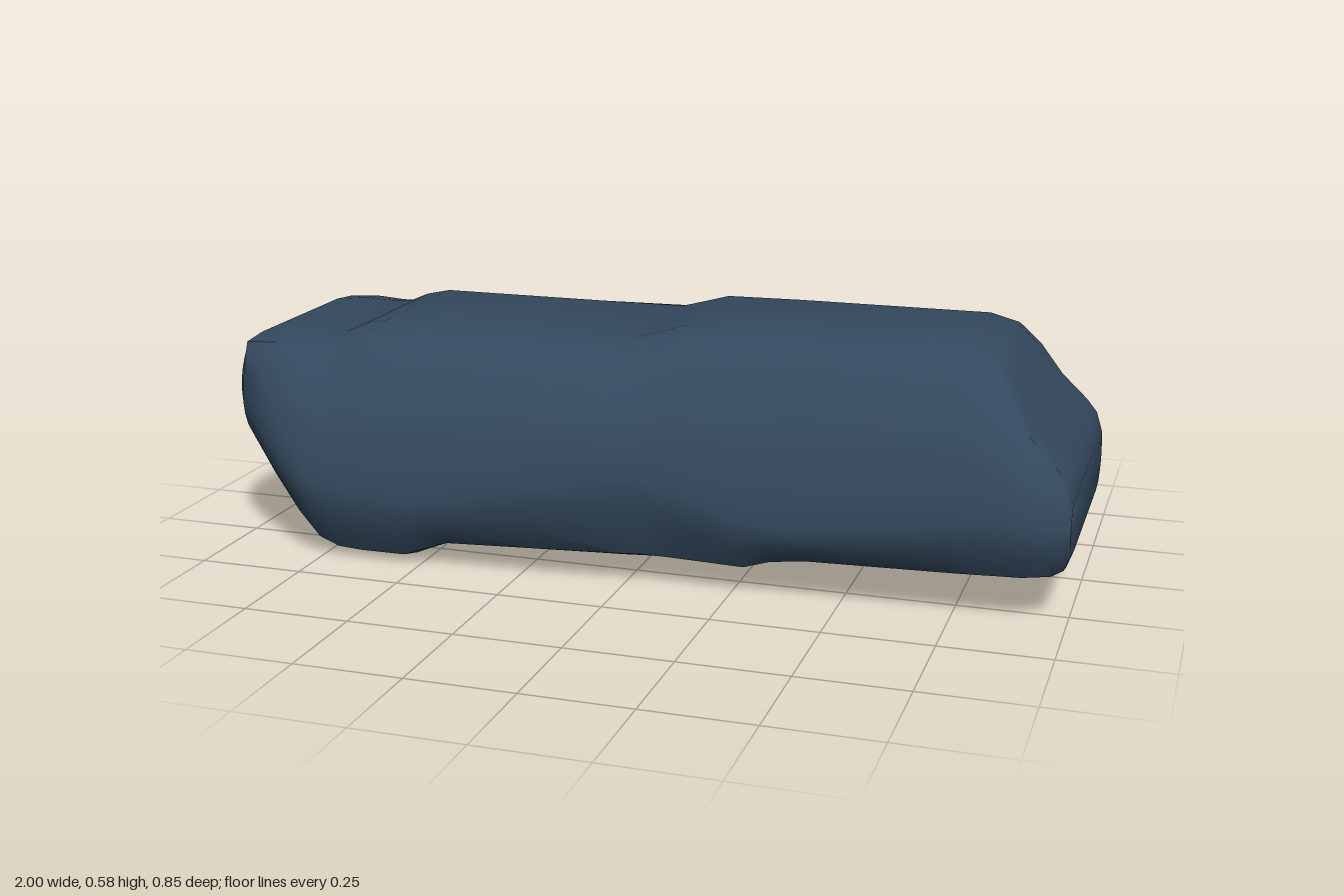
import * as THREE from 'three';
import { toCreasedNormals } from 'three/addons/utils/BufferGeometryUtils.js';

// Lengthwise stations: x, bottom, top, widest half-width, height of widest point, shoulder half-width
const stations = [
  [-1.0, 0.27, 0.46, 0.28, 0.37, 0.25],
  [-0.98, 0.24, 0.495, 0.31, 0.34, 0.275],
  [-0.9, 0.163, 0.503, 0.365, 0.28, 0.28],
  [-0.82, 0.085, 0.503, 0.41, 0.23, 0.27],
  [-0.76, 0.025, 0.508, 0.425, 0.2, 0.26],
  [-0.71, 0.005, 0.53, 0.427, 0.19, 0.25],
  [-0.65, 0.002, 0.543, 0.427, 0.18, 0.25],
  [-0.54, 0.004, 0.543, 0.427, 0.17, 0.25],
  [-0.49, 0.025, 0.543, 0.427, 0.17, 0.25],
  [-0.43, 0.048, 0.543, 0.427, 0.18, 0.25],
  [-0.22, 0.05, 0.543, 0.42, 0.23, 0.25],
  [-0.02, 0.05, 0.545, 0.404, 0.27, 0.245],
  [0.04, 0.05, 0.562, 0.39, 0.27, 0.235],
  [0.1, 0.05, 0.58, 0.384, 0.25, 0.225],
  [0.28, 0.052, 0.583, 0.382, 0.19, 0.22],
  [0.34, 0.075, 0.583, 0.382, 0.18, 0.22],
  [0.42, 0.087, 0.583, 0.382, 0.18, 0.22],
  [0.74, 0.089, 0.583, 0.38, 0.23, 0.22],
  [0.8, 0.089, 0.566, 0.377, 0.24, 0.225],
  [0.85, 0.09, 0.51, 0.373, 0.24, 0.25],
  [0.9, 0.091, 0.425, 0.368, 0.235, 0.29],
  [0.96, 0.095, 0.362, 0.345, 0.225, 0.3],
  [0.985, 0.11, 0.33, 0.335, 0.22, 0.3],
  [1.0, 0.15, 0.28, 0.32, 0.21, 0.3],
];

// One rounded cross-section, running up the +z side and down the -z side
function section([x, bottom, top, wide, midY, shoulder]) {
  const sill = wide * 0.87;
  const low = midY - bottom, high = top - midY;
  const half = [
    [sill * 0.8, bottom],
    [sill, bottom + low * 0.12],
    [sill + (wide - sill) * 0.6, bottom + low * 0.45],
    [sill + (wide - sill) * 0.9, bottom + low * 0.75],
    [wide, midY],
  ];
  for (const [t, f] of [[0.22, 0.91], [0.4, 0.8], [0.55, 0.66], [0.77, 0.35], [0.95, 0]]) {
    half.push([shoulder + (wide - shoulder) * f, midY + high * t]);
  }
  half.push([shoulder * 0.72, top]);
  const left = half.map(([z, y]) => [x, y, z]);
  const right = half.map(([z, y]) => [x, y, -z]).reverse();
  return [...left, ...right];
}

// Skin the sections and close both ends
function loft(rings) {
  const n = rings[0].length;
  const positions = rings.flat(2);
  const index = [];
  for (let i = 0; i < rings.length - 1; i++) {
    for (let j = 0; j < n; j++) {
      const k = (j + 1) % n;
      const a = i * n + j, b = i * n + k;
      index.push(a, a + n, b, a + n, b + n, b);
    }
  }
  for (const end of [0, rings.length - 1]) {
    const center = positions.length / 3;
    const midY = rings[end].reduce((sum, p) => sum + p[1], 0) / n;
    positions.push(rings[end][0][0], midY, 0);
    for (let j = 0; j < n; j++) {
      const a = end * n + j, b = end * n + (j + 1) % n;
      if (end === 0) index.push(center, a, b);
      else index.push(center, b, a);
    }
  }
  const geometry = new THREE.BufferGeometry();
  geometry.setAttribute('position', new THREE.Float32BufferAttribute(positions, 3));
  geometry.setIndex(index);
  return toCreasedNormals(geometry, 0.7);
}

export function createModel() {
  const slateBlue = new THREE.MeshStandardMaterial({ color: 0x34495e });
  slateBlue.name = 'slate blue';
  const body = new THREE.Mesh(loft(stations.map(section)), slateBlue);
  body.name = 'body';
  const group = new THREE.Group();
  group.name = 'roundedBlock';
  group.add(body);
  return group;
}
